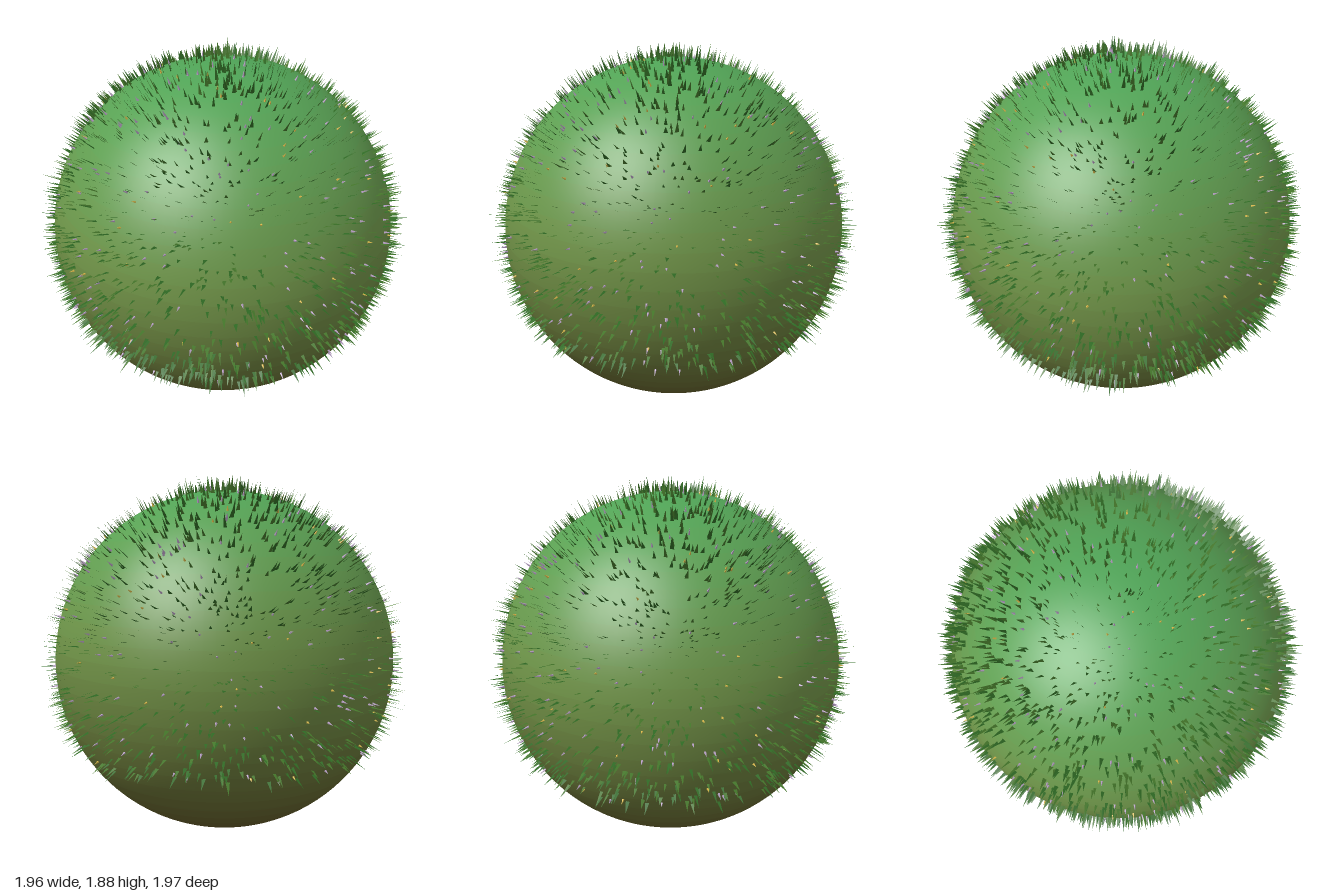
import * as THREE from 'three';
import { mergeGeometries } from 'three/addons/utils/BufferGeometryUtils.js';

const R = 0.9;            // globe radius
const LOWEST = -0.51;     // grass stops below this height on the unit sphere

// Small seeded random generator
let seed = 7;
const rand = () => {
  seed = (seed * 1664525 + 1013904223) % 4294967296;
  return seed / 4294967296;
};
const range = (a, b) => a + (b - a) * rand();

// Random outward direction on the grassy part of the globe
function randomNormal() {
  const y = range(LOWEST, 1), a = range(0, Math.PI * 2), r = Math.sqrt(1 - y * y);
  return new THREE.Vector3(r * Math.cos(a), y, r * Math.sin(a));
}

// Flat tapering blades, their width lying roughly along the horizontal
function bladeGeometry(count) {
  const pos = [];
  const up = new THREE.Vector3(0, 1, 0);
  for (let i = 0; i < count; i++) {
    const n = randomNormal();
    const side = new THREE.Vector3().crossVectors(up, n).normalize();
    side.applyAxisAngle(n, range(-0.25, 0.25));
    const half = range(0.006, 0.011);
    const len = 0.045 + 0.055 * rand() * rand();
    const base = n.clone().multiplyScalar(R - 0.002);
    const a = base.clone().addScaledVector(side, -half);
    const b = base.clone().addScaledVector(side, half);
    const tip = n.clone().multiplyScalar(R + len).addScaledVector(side, range(-0.008, 0.008));
    for (const p of [a, b, tip]) pos.push(p.x, p.y, p.z);
  }
  const g = new THREE.BufferGeometry();
  g.setAttribute('position', new THREE.Float32BufferAttribute(pos, 3));
  g.computeVertexNormals();
  return g;
}

// Tiny pointed flower buds standing on the surface
function budGeometry(count, radius, length) {
  const up = new THREE.Vector3(0, 1, 0);
  const buds = [];
  for (let i = 0; i < count; i++) {
    const n = randomNormal(), h = length * range(0.7, 1.2);
    const g = new THREE.ConeGeometry(radius, h, 4, 1, true);
    g.applyQuaternion(new THREE.Quaternion().setFromUnitVectors(up, n));
    g.translate(n.x * (R + h / 2), n.y * (R + h / 2), n.z * (R + h / 2));
    buds.push(g);
  }
  return mergeGeometries(buds);
}

function addMesh(group, name, geometry, color, options = {}) {
  const mesh = new THREE.Mesh(geometry, new THREE.MeshStandardMaterial({ color, ...options }));
  mesh.name = name;
  group.add(mesh);
}

export function createModel() {
  seed = 7;
  const model = new THREE.Group();
  model.name = 'grassyGlobe';

  // Globe in thin bands, shading from green at the top to brown-olive below
  const globe = new THREE.Group();
  globe.name = 'globe';
  const top = new THREE.Color(0x4fa557), middle = new THREE.Color(0x6f9448), bottom = new THREE.Color(0x5c4a1e);
  const bands = 32;
  for (let i = 0; i < bands; i++) {
    const start = (i / bands) * Math.PI;
    const t = (1 - Math.cos(start + Math.PI / bands / 2)) / 2;
    const color = t < 0.4 ? top.clone().lerp(middle, t / 0.4) : middle.clone().lerp(bottom, (t - 0.4) / 0.6);
    addMesh(globe, 'globeBand', new THREE.SphereGeometry(R, 96, 2, 0, Math.PI * 2, start, Math.PI / bands), color);
  }
  model.add(globe);

  // Grass in two greens
  const grass = { side: THREE.DoubleSide, flatShading: true };
  addMesh(model, 'darkGrass', bladeGeometry(1400), 0x2f6a24, grass);
  addMesh(model, 'lightGrass', bladeGeometry(1200), 0x44762a, grass);

  // Flower buds scattered between the blades
  const bud = { side: THREE.DoubleSide, flatShading: true };
  addMesh(model, 'lilacBuds', budGeometry(300, 0.006, 0.035), 0xb79fc4, bud);
  addMesh(model, 'yellowBuds', budGeometry(90, 0.006, 0.025), 0xd9b84a, bud);

  model.position.y = R;
  const root = new THREE.Group();
  root.name = 'model';
  root.add(model);
  return root;
}
